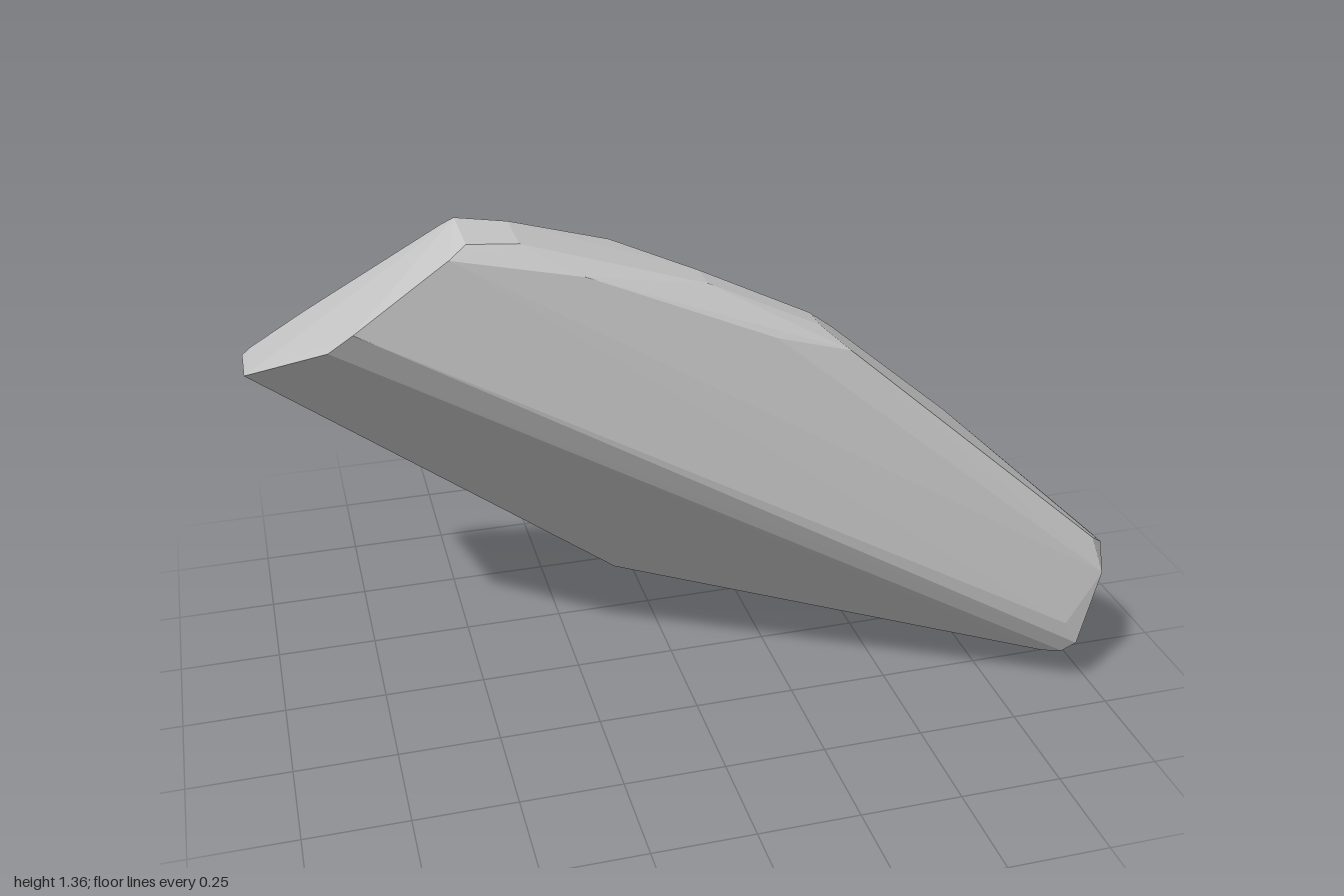
import * as THREE from 'three';
import { ConvexGeometry } from 'three/addons/geometries/ConvexGeometry.js';

const stone = new THREE.MeshStandardMaterial({ color: 0xc8c8c8 });
stone.name = 'stone grey';

// Underside: lowest corner and the long rear edge climbing to the left
const underside = [
  [0.34, 0, -0.37], [0.4, 0.012, -0.16], [-0.11, 0.1, -0.47], [-0.09, 0.12, -0.26],
  [-0.6, 0.525, -0.42], [-0.83, 0.72, -0.35], [-1, 0.86, -0.27], [-1, 0.965, 0.08],
];

// Front: narrow bevelled strip running from upper left to lower right
const frontStrip = [
  [-0.83, 1.15, 0.42], [-0.78, 1.205, 0.467], [-0.58, 1.34, 0.458],
  [-0.3, 1.27, 0.445], [0.12, 1.08, 0.435],
  [0.87, 0.105, 0.39], [0.9, 0.125, 0.43], [0.92, 0.165, 0.46], [0.88, 0.235, 0.468],
];

// Blunt tip at the lower right
const tip = [
  [0.97, 0.36, 0.455], [0.95, 0.445, 0.425], [1, 0.4, 0.38], [1, 0.395, 0.32],
  [0.97, 0.36, 0.22], [0.92, 0.26, 0.17],
];

// Top ridge
const ridge = [
  [-0.54, 1.36, 0.43], [-0.54, 1.36, 0.27], [-0.43, 1.345, 0.415], [-0.43, 1.345, 0.28],
  [-0.56, 1.33, 0.22], [-0.02, 1.2, 0.38], [-0.02, 1.2, 0.3], [-0.2, 1.26, 0.22], [0.1, 1.11, 0.22],
  [0.24, 1.07, 0.37], [0.24, 1.07, 0.3], [0.3, 1.02, 0.415], [0.31, 1.01, 0.26], [0.62, 0.74, 0.22],
];

// Rounded back
const back = [
  [-0.85, 1.02, -0.12], [-0.98, 0.89, -0.24], [-0.06, 0.82, -0.1], [-0.04, 0.61, -0.25],
  [-0.3, 0.73, -0.25], [-0.15, 0.45, -0.36], [0, 0.27, -0.39], [0.48, 0.15, -0.24], [0.36, 0.05, -0.362],
];

export function createModel() {
  const model = new THREE.Group();
  model.name = 'rock';
  const points = [underside, frontStrip, tip, ridge, back].flat()
    .map((p) => new THREE.Vector3(...p));
  // Chipped, flat-faced boulder
  const boulder = new THREE.Mesh(new ConvexGeometry(points), stone);
  boulder.name = 'boulder';
  model.add(boulder);
  return model;
}
